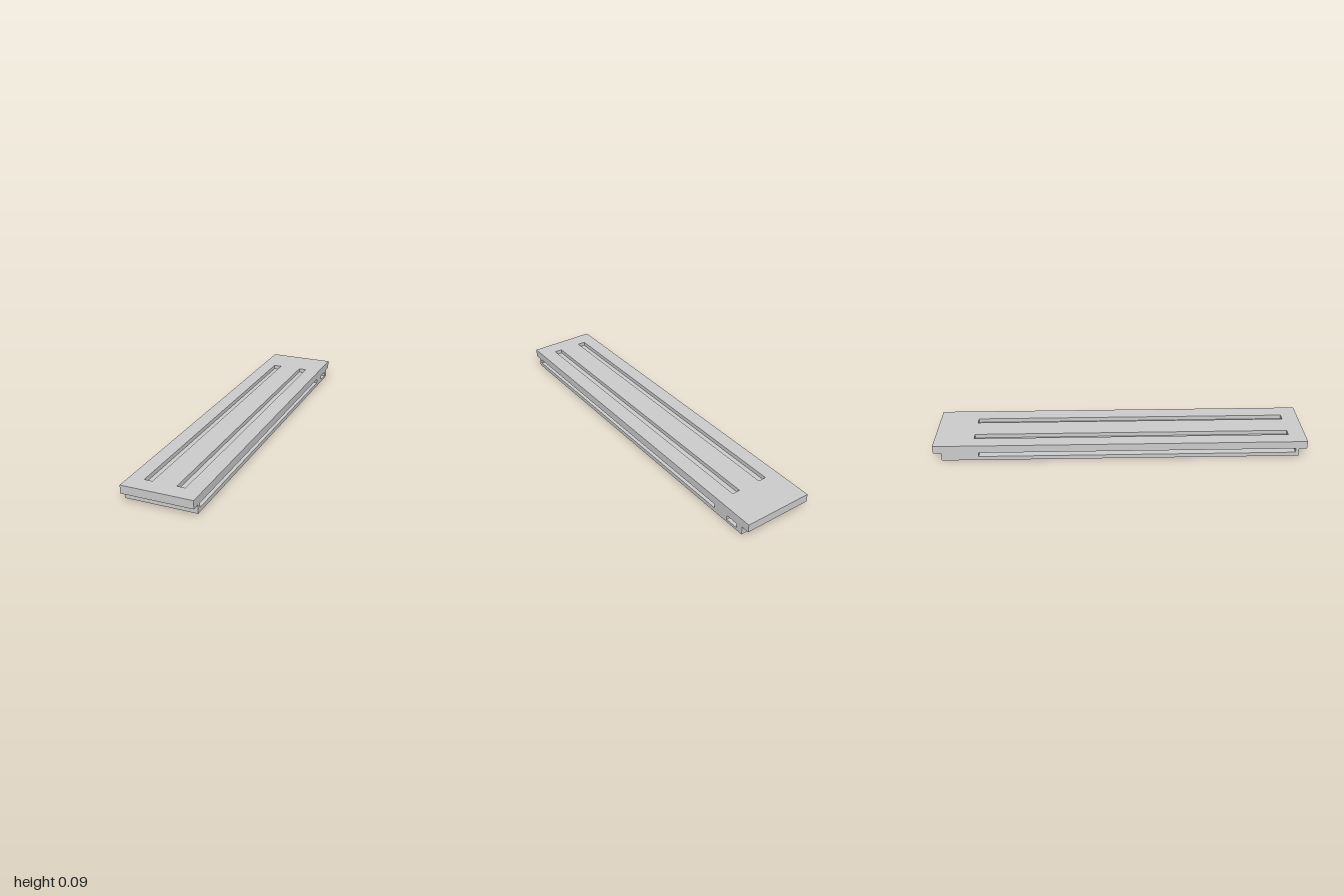
import * as THREE from 'three';

const HALF_W = 0.185, HALF_L = 0.997, BODY_L = 0.955;
const BASE_TOP = 0.022, BODY_TOP = 0.045, GROOVE_FLOOR = 0.066, TOP = 0.088;

// Closed outline from a list of points, with optional holes
function outline(points, holes = []) {
  const toVectors = (list) => list.map(([a, b]) => new THREE.Vector2(a, b));
  const shape = new THREE.Shape(toVectors(points));
  for (const hole of holes) shape.holes.push(new THREE.Path(toVectors(hole)));
  return shape;
}

const rect = (a0, b0, a1, b1) => [[a0, b0], [a1, b0], [a1, b1], [a0, b1]];

const extrude = (shape, depth) =>
  new THREE.ExtrudeGeometry(shape, { depth, bevelEnabled: false });

export function createModel() {
  const model = new THREE.Group();
  const material = new THREE.MeshStandardMaterial({ color: 0xcccccc, flatShading: true });
  const add = (name, geometry) => {
    const mesh = new THREE.Mesh(geometry, material);
    mesh.name = name;
    model.add(mesh);
  };

  // Body: side profile (-z, y) swept across x, with a long open side slot
  const profile = [
    [-BODY_L, 0], [BODY_L, 0], [BODY_L, BODY_TOP], [0.757, BODY_TOP],
    [0.757, BASE_TOP], [-0.937, BASE_TOP], [-0.937, BODY_TOP], [-BODY_L, BODY_TOP],
  ];
  const sweep = (holes, x0, x1) =>
    extrude(outline(profile, holes), x1 - x0).rotateY(Math.PI / 2).translate(x0, 0, 0);
  const pocketDepth = 0.03;
  add('body', sweep([], -HALF_W, HALF_W - pocketDepth));
  // Outer layer holds the small rectangular pocket near the back
  add('bodyPocketSide', sweep([rect(0.847, 0.014, 0.917, 0.038)], HALF_W - pocketDepth, HALF_W));

  // Cover plate: solid lower layer and a top layer with two long grooves
  const plate = rect(-HALF_W, -HALF_L, HALF_W, HALF_L);
  const grooves = [-0.088, 0.079].map((x) => rect(x - 0.0215, -0.907, x + 0.0215, 0.786));
  const layer = (holes, y0, y1) =>
    extrude(outline(plate, holes), y1 - y0).rotateX(-Math.PI / 2).translate(0, y0, 0);
  add('plateBase', layer([], BODY_TOP, GROOVE_FLOOR));
  add('plateTop', layer(grooves, GROOVE_FLOOR, TOP));

  // The whole piece sits slightly turned
  model.rotation.y = 0.015;
  return model;
}
